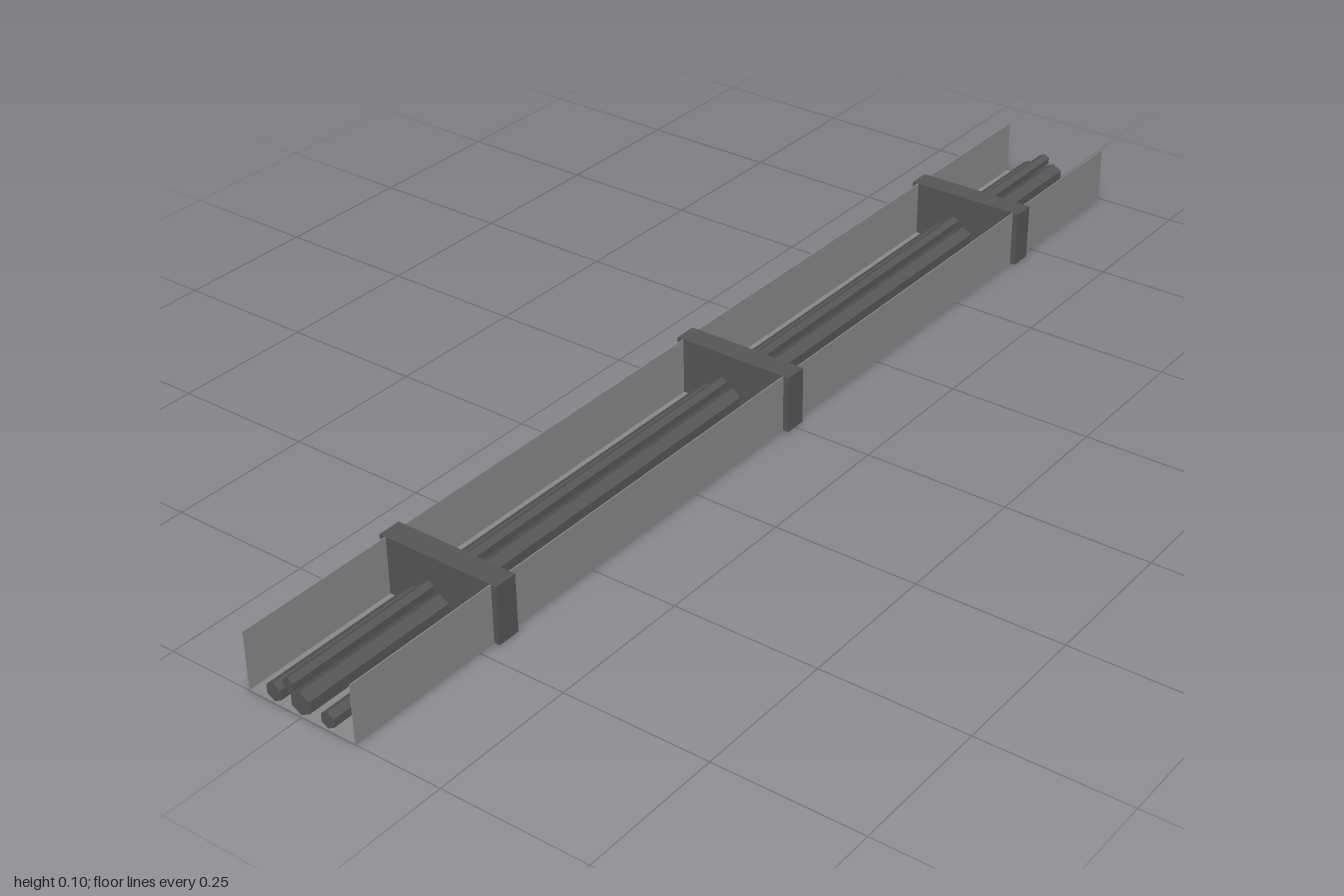
import * as THREE from 'three';

export function createModel() {
  const group = new THREE.Group();
  const traySteel = new THREE.MeshStandardMaterial({ color: 0x888888 });
  traySteel.name = 'tray grey';
  const darkGrey = new THREE.MeshStandardMaterial({ color: 0x555555, flatShading: true });
  darkGrey.name = 'dark grey';

  const add = (name, geometry, material, x, y, z) => {
    const mesh = new THREE.Mesh(geometry, material);
    mesh.name = name;
    mesh.position.set(x, y, z);
    group.add(mesh);
    return mesh;
  };

  // Open sheet-metal channel
  const t = 0.002;
  add('trayFloor', new THREE.BoxGeometry(2, t, 0.2), traySteel, 0, t / 2, 0);
  for (const side of [1, -1]) {
    add(side > 0 ? 'frontWall' : 'backWall',
      new THREE.BoxGeometry(2, 0.1 - t, t), traySteel, 0, 0.05 + t / 2, side * (0.1 - t / 2));
  }

  // Solid cross brackets, slightly wider than the channel
  for (const x of [-0.7, 0, 0.7]) {
    add('bracket', new THREE.BoxGeometry(0.04, 0.1, 0.22), darkGrey, x, 0.0505, 0);
  }

  // Six-sided cables along the whole channel: [height, z, radius]
  const cables = [
    [0.018, 0.05, 0.0135],
    [0.023, 0, 0.0195],
    [0.02, -0.05, 0.0155],
    [0.046, -0.02, 0.0115],
  ];
  for (const [y, z, r] of cables) {
    const geometry = new THREE.CylinderGeometry(r, r, 2, 6);
    geometry.rotateY(Math.PI / 2).rotateZ(Math.PI / 2); // a corner points up
    add('cable', geometry, darkGrey, 0, y, z);
  }
  return group;
}
